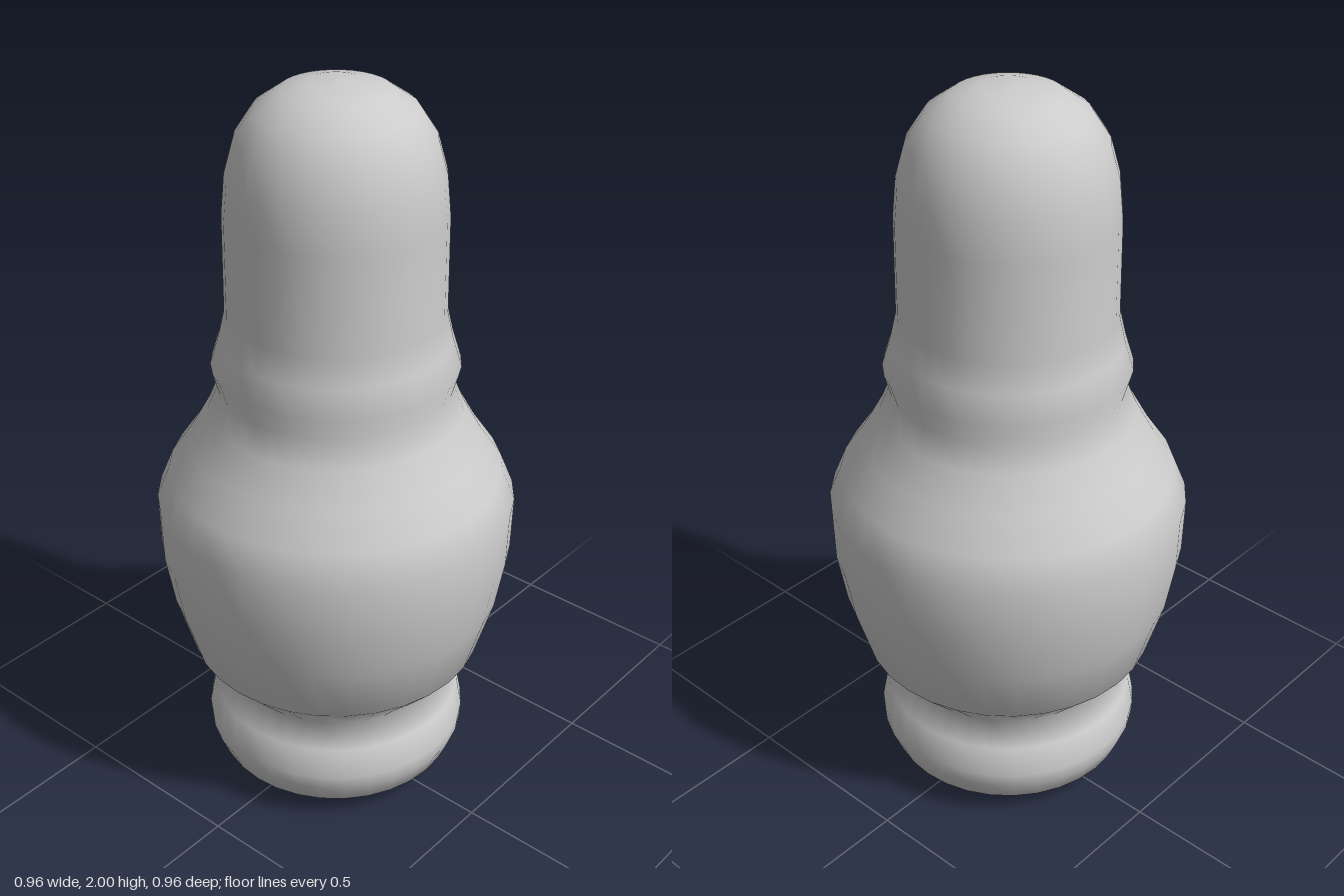
import * as THREE from 'three';

// Half outline as [radius, height], bottom to top
const foot = [[0, 0], [0.2, 0.008], [0.285, 0.022], [0.335, 0.06], [0.36, 0.12], [0.363, 0.16], [0.347, 0.245]];
const belly = [[0.292, 0.295], [0.4, 0.41], [0.45, 0.58], [0.474, 0.72], [0.478, 0.87], [0.443, 0.955], [0.385, 1.04], [0.335, 1.13]];
const collar = [[0.306, 1.2], [0.323, 1.26], [0.3, 1.335]];
const head = [[0.283, 1.41], [0.281, 1.67], [0.271, 1.775], [0.246, 1.865], [0.2, 1.935], [0.135, 1.98], [0.07, 1.996], [0, 2]];

export function createModel() {
  const group = new THREE.Group();
  group.name = 'turnedFigure';

  // One smooth turned piece: foot, belly, collar and domed head
  const profile = [...foot, ...belly, ...collar, ...head].map(([r, y]) => new THREE.Vector2(r, y));
  const body = new THREE.Mesh(
    new THREE.LatheGeometry(profile, 32),
    new THREE.MeshStandardMaterial({ color: 0xcccccc })
  );
  body.name = 'turnedBody';
  group.add(body);
  return group;
}
